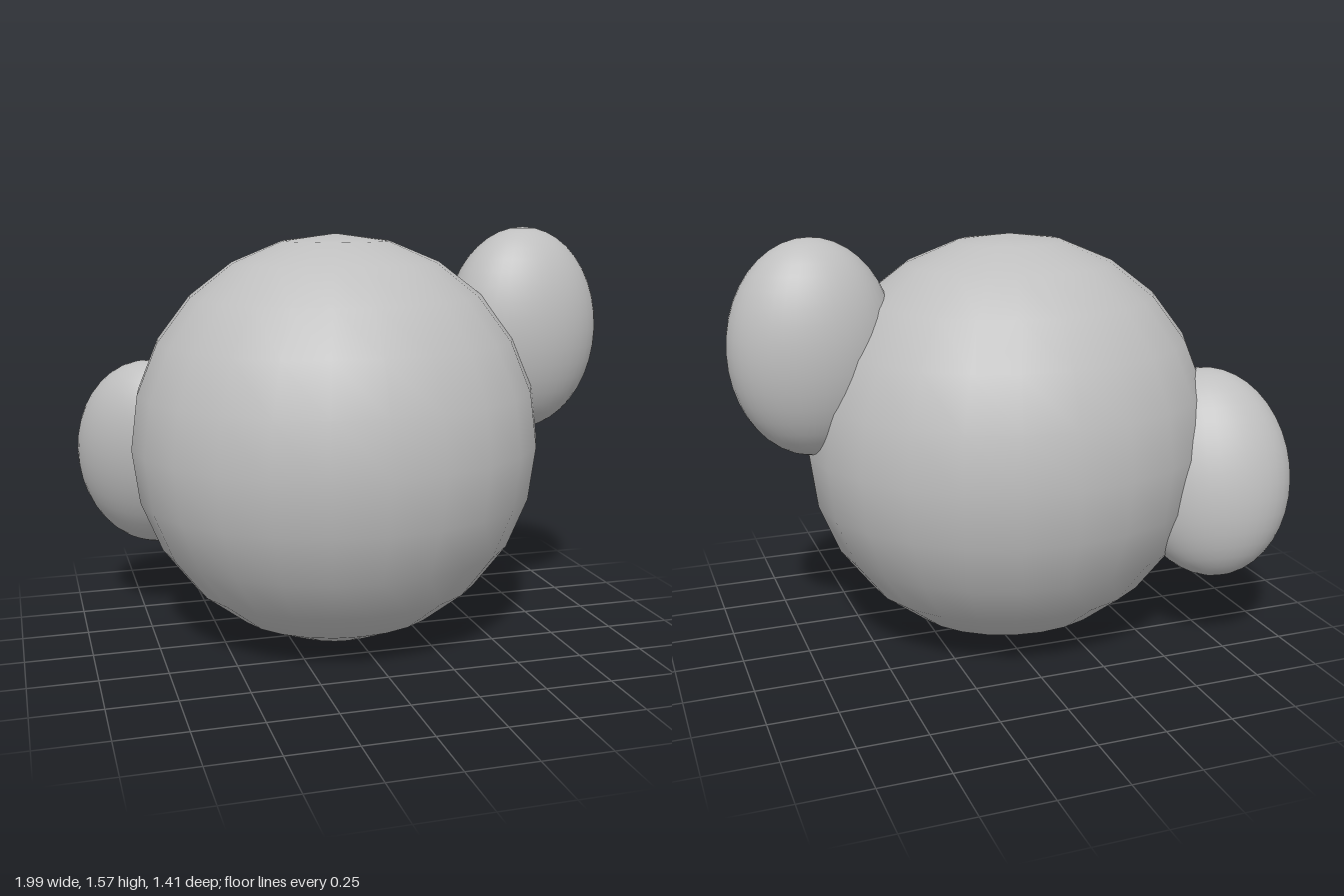
import * as THREE from 'three';

export function createModel() {
  const model = new THREE.Group();
  const grey = new THREE.MeshStandardMaterial({ color: 0xbfbfbf });
  grey.name = 'grey';

  // Smooth ellipsoid with given radii, centre and rotation
  function ellipsoid(name, radii, centre, rotation, sides) {
    const geometry = new THREE.SphereGeometry(1, sides, sides / 2);
    geometry.scale(...radii);
    const mesh = new THREE.Mesh(geometry, grey);
    mesh.name = name;
    mesh.position.set(...centre);
    mesh.rotation.set(...rotation);
    model.add(mesh);
  }

  // Large round body
  ellipsoid('body', [0.775, 0.775, 0.705], [-0.057, 0.78, 0], [0, 0, 0], 24);

  // Two flattened lobes of equal size
  const lobe = [0.303, 0.393, 0.22];
  ellipsoid('upperLeftLobe', lobe, [0.69, 1.179, 0], [0, 0, 0], 40);
  ellipsoid('lowerRightLobe', lobe, [-0.71, 0.683, -0.39], [0.3, -0.47, 0], 40);

  return model;
}
